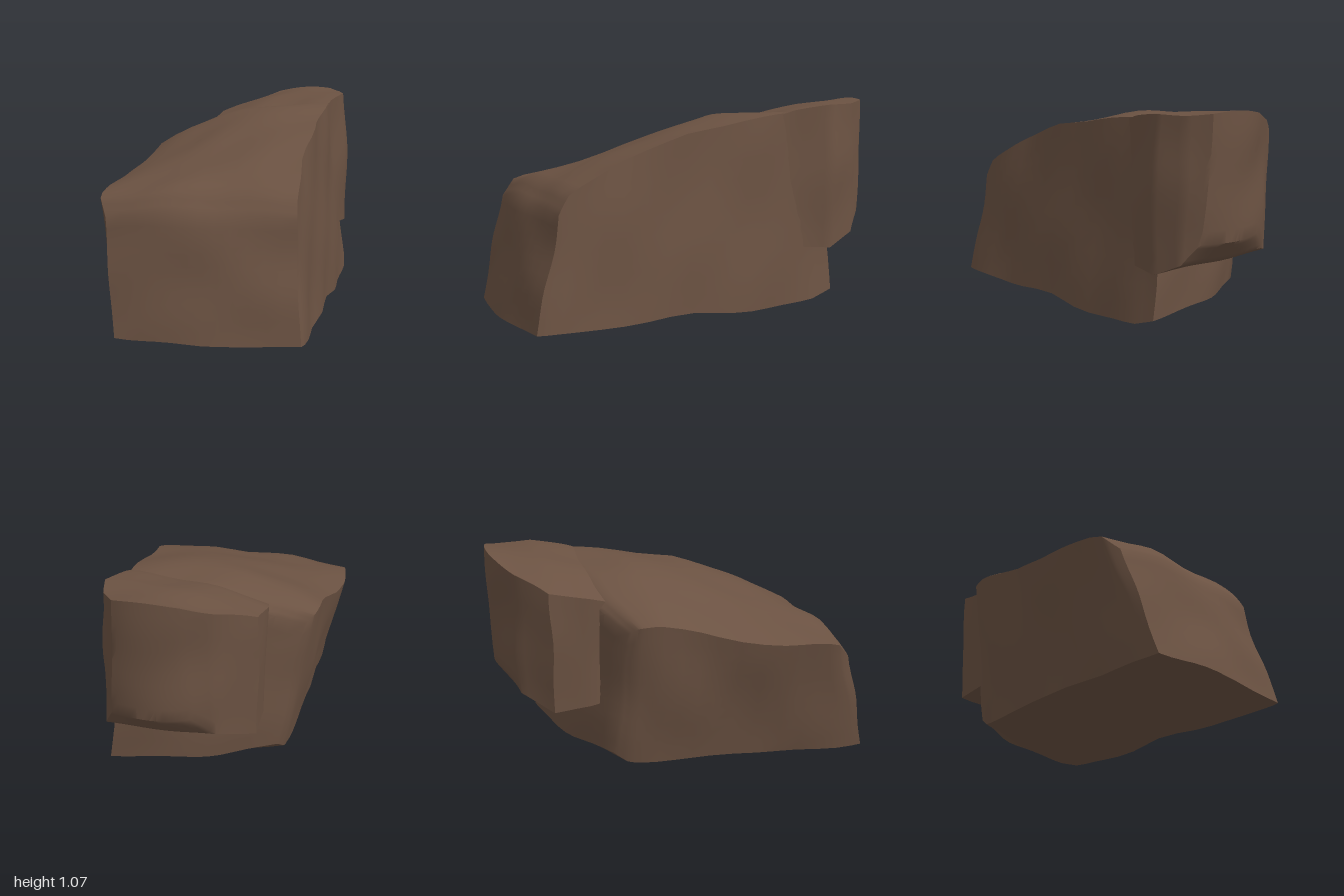
import * as THREE from 'three';
import { mergeVertices, toCreasedNormals } from 'three/addons/utils/BufferGeometryUtils.js';

const stone = new THREE.MeshStandardMaterial({ color: 0x6b5242 });
stone.name = 'brown stone';

// Gentle, repeatable lumps for weathered stone
const lump = (a, b, c) =>
  Math.sin(a * 9.1 + b * 4.3 + 1.2) * Math.sin(b * 8.3 - c * 5.1) +
  0.6 * Math.sin(c * 13.7 + a * 6.1) * Math.sin(b * 15.1 + c * 4.7 + 0.5);

// Shapes a subdivided box through cross-sections running front to back.
// Row: zBottom, zTop, zLeftShift, zRightShift, xBottomLeft, xTopLeft,
//      xBottomRight, xTopRight, yBottom, yTopLeft, yTopRight, topBulge
function carve(name, rows, rough) {
  let geo = new THREE.BoxGeometry(1, 1, 1, 12, 10, 20);
  geo.deleteAttribute('normal');
  geo.deleteAttribute('uv');
  geo = mergeVertices(geo);
  const p = geo.attributes.position;
  const mix = THREE.MathUtils.lerp;
  for (let i = 0; i < p.count; i++) {
    const u = p.getX(i) + 0.5, v = p.getY(i) + 0.5;
    const t = (0.5 - p.getZ(i)) * (rows.length - 1);
    const k = Math.min(Math.floor(t), rows.length - 2);
    const r = rows[k].map((a, j) => mix(a, rows[k + 1][j], t - k));
    const [zb, zt, sl, sr, xbl, xtl, xbr, xtr, yb, ytl, ytr, bulge] = r;
    const x = mix(mix(xbl, xtl, v), mix(xbr, xtr, v), u);
    const y = mix(yb, mix(ytl, ytr, u) + bulge * Math.sin(Math.PI * u), v);
    const z = mix(zb, zt, v) + sl * (1 - u) ** 2 + sr * u * u;
    p.setXYZ(i,
      x + rough * lump(y, z, x),
      Math.max(0.005, y + rough * lump(z, x, y)),
      THREE.MathUtils.clamp(z + rough * lump(x, y, z), -1, 1));
  }
  const mesh = new THREE.Mesh(toCreasedNormals(geo, 0.65), stone);
  mesh.name = name;
  return mesh;
}

export function createModel() {
  const rock = new THREE.Group();
  rock.name = 'rock';

  // Main boulder: sloping front, rising top, flat sides, rear ledge
  rock.add(carve('mainBoulder', [
    [1.0, 0.86, -0.05, -0.1, -0.36, -0.44, 0.51, 0.47, 0.01, 0.55, 0.57, 0.02],
    [0.92, 0.76, -0.03, -0.06, -0.36, -0.49, 0.52, 0.46, 0.01, 0.63, 0.67, 0.03],
    [0.5, 0.47, 0, 0, -0.36, -0.53, 0.52, 0.44, 0.02, 0.66, 0.80, 0.04],
    [0.1, 0.1, 0, 0, -0.36, -0.485, 0.52, 0.43, 0.03, 0.72, 0.92, 0.06],
    [-0.26, -0.26, 0.06, 0, -0.35, -0.475, 0.51, 0.42, 0.03, 0.79, 0.99, 0.10],
    [-0.56, -0.54, 0.24, 0, -0.33, -0.46, 0.5, 0.42, 0.04, 0.79, 1.0, 0.07],
    [-0.69, -0.64, 0.29, -0.01, -0.3, -0.42, 0.49, 0.42, 0.09, 0.76, 0.98, 0.05],
  ], 0.009));

  // Overhanging block at the back, tapering to a blunt point
  rock.add(carve('rearOverhang', [
    [-0.3, -0.3, 0, 0, -0.2, -0.22, 0.44, 0.4, 0.36, 0.84, 0.95, 0.04],
    [-0.5, -0.5, 0, 0, -0.25, -0.26, 0.47, 0.43, 0.33, 0.9, 1.01, 0.04],
    [-0.69, -0.69, 0, 0, -0.25, -0.26, 0.5, 0.48, 0.31, 0.93, 1.05, 0.04],
    [-0.84, -0.84, 0, 0, -0.08, -0.08, 0.45, 0.43, 0.37, 1.0, 1.06, 0.02],
    [-0.96, -0.99, 0.07, 0.05, 0.03, 0.06, 0.39, 0.36, 0.47, 1.05, 1.07, 0.01],
  ], 0.008));

  return rock;
}
